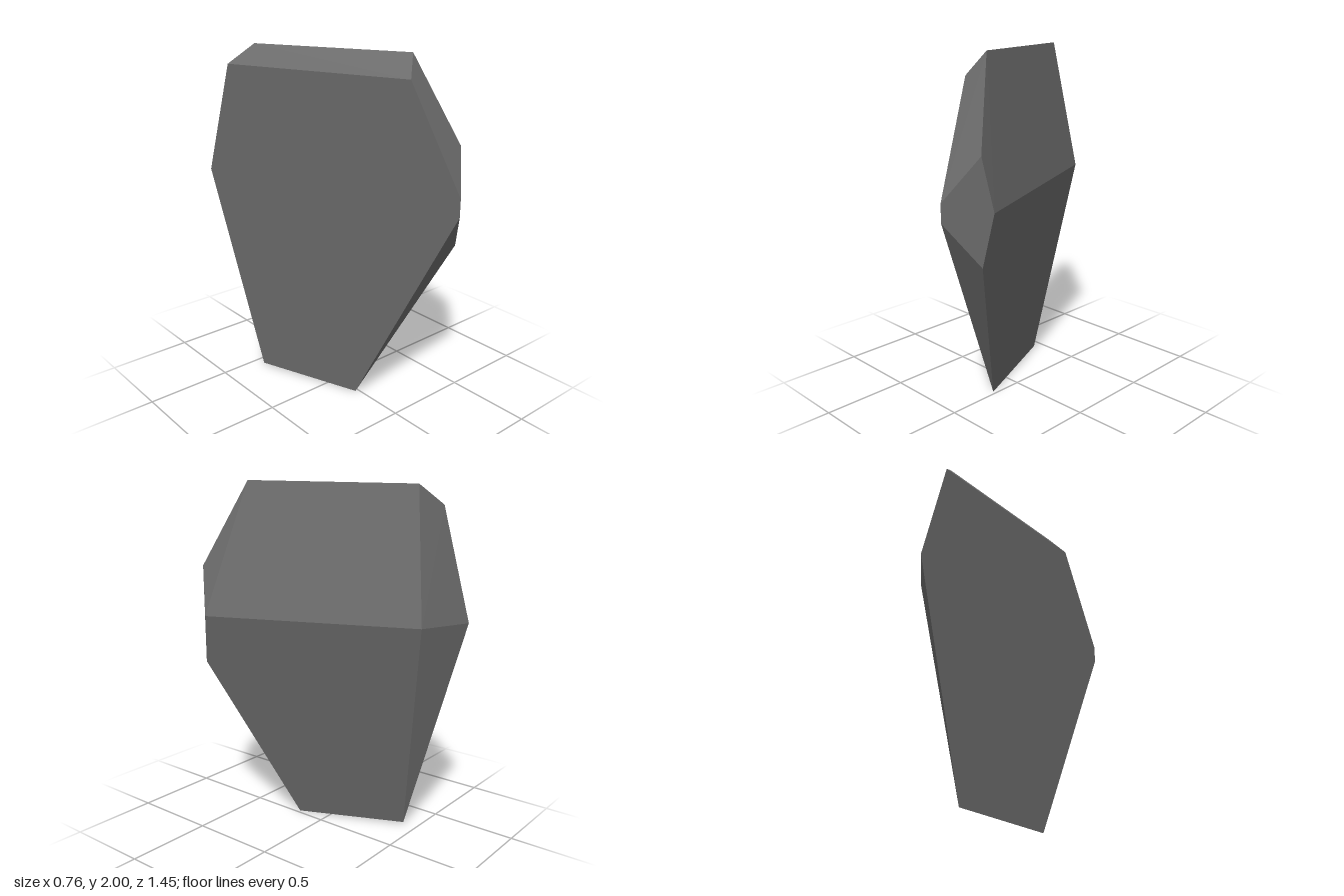
import * as THREE from 'three';
import { ConvexGeometry } from 'three/addons/geometries/ConvexGeometry.js';

export function createModel() {
  const group = new THREE.Group();
  group.name = 'stoneShard';

  const stone = new THREE.MeshStandardMaterial({ color: 0x686868 });
  stone.name = 'grey stone';

  // corners of the flat, upright broad side
  const broadSide = [
    [-0.32, 1.88, -0.58], [0.09, 1.88, 0.45], [0.2, 1.3, 0.72], [0.2, 1.2, 0.72],
    [-0.02, 0.005, 0.18], [-0.26, 0.02, -0.42], [-0.38, 1.25, -0.725],
  ];
  // corners of the opposite side, which bulges to a ridge at mid height
  const ridgeSide = [
    [-0.19, 1.99, -0.5], [0.17, 2.0, 0.38], [0.34, 1.53, 0.58],
    [0.38, 1.25, 0.535], [0.34, 0.97, 0.58], [-0.09, 1.25, -0.605],
  ];

  // faceted slab: the convex hull of both sides
  const corners = [...broadSide, ...ridgeSide].map(([x, y, z]) => new THREE.Vector3(x, y - 0.005, z));
  const shard = new THREE.Mesh(new ConvexGeometry(corners), stone);
  shard.name = 'shard';
  group.add(shard);

  return group;
}
